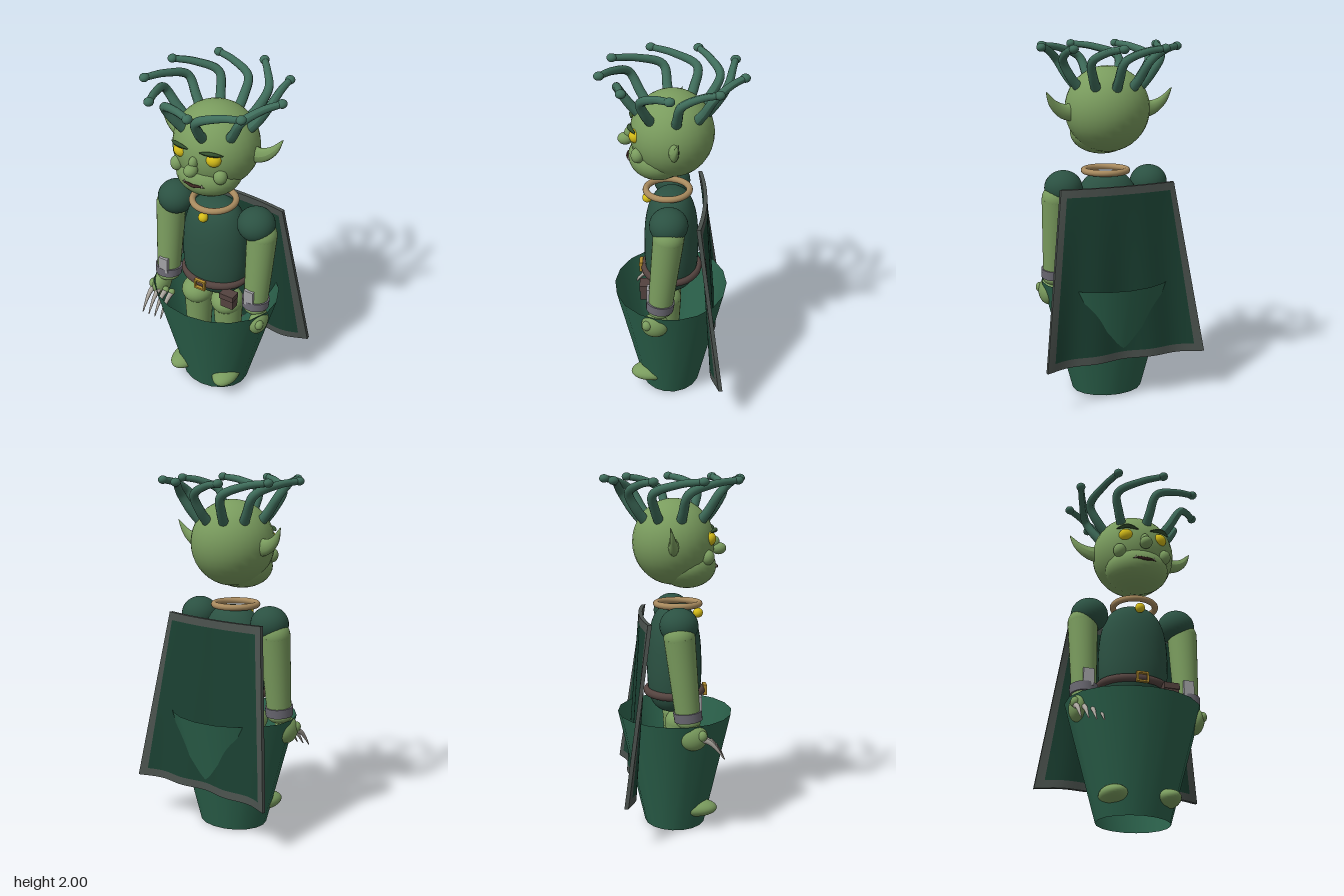
import * as THREE from 'three';

const V = (x, y, z) => new THREE.Vector3(x, y, z);
const mat = (color, side = THREE.FrontSide) => new THREE.MeshStandardMaterial({ color, side });
const M = {
  skin: mat(0x7a9c5e), tentacle: mat(0x3f6d5b), tunic: mat(0x2b5142),
  bucket: mat(0x2b614b, THREE.DoubleSide), cape: mat(0x1a3f31), hem: mat(0x4a514d),
  eye: mat(0xd6bd18), brow: mat(0x34502f), mouth: mat(0x3a2420), tooth: mat(0xd8d2bc),
  ring: mat(0xa88a5e), leather: mat(0x54433f), gold: mat(0xb08a2e),
  bracer: mat(0x6c6a74), plate: mat(0xa2a2a6), claw: mat(0xa9a49c),
};

export function createModel() {
  const root = new THREE.Group();
  const add = (name, geo, m, x = 0, y = 0, z = 0) => {
    const mesh = new THREE.Mesh(geo, m);
    mesh.name = name;
    mesh.position.set(x, y, z);
    root.add(mesh);
    return mesh;
  };
  const ball = (name, m, x, y, z, rx, ry = rx, rz = rx) => {
    const b = add(name, new THREE.SphereGeometry(1, 28, 20), m, x, y, z);
    b.scale.set(rx, ry, rz);
    return b;
  };
  // Tube along points whose radius follows a rule r(t); flat squashes it in z
  const taper = (name, m, pts, r, flat = 1, n = 24) => {
    const curve = new THREE.CatmullRomCurve3(pts);
    const sides = 12, geo = new THREE.TubeGeometry(curve, n, 1, sides);
    const p = geo.attributes.position, v = V(0, 0, 0);
    for (let i = 0; i <= n; i++) {
      const c = curve.getPointAt(i / n);
      for (let j = 0; j <= sides; j++) {
        const k = i * (sides + 1) + j;
        v.fromBufferAttribute(p, k).sub(c).multiplyScalar(r(i / n));
        p.setXYZ(k, c.x + v.x, c.y + v.y, c.z + v.z * flat);
      }
    }
    geo.computeVertexNormals();
    return add(name, geo, m);
  };
  // Cylinder between two points
  const limb = (name, m, a, b, ra, rb, open = false) => {
    const d = b.clone().sub(a);
    const c = add(name, new THREE.CylinderGeometry(rb, ra, d.length(), 24, 1, open), m);
    c.position.copy(a).addScaledVector(d, 0.5);
    c.quaternion.setFromUnitVectors(V(0, 1, 0), d.normalize());
    return c;
  };

  // Head and face
  ball('head', M.skin, 0, 1.63, -0.005, 0.24, 0.24, 0.23);
  ball('jaw', M.skin, 0, 1.495, 0.07, 0.185, 0.125, 0.165);
  ball('noseBridge', M.skin, 0, 1.625, 0.225, 0.024, 0.035, 0.03);
  ball('nose', M.skin, 0, 1.59, 0.25, 0.036, 0.034, 0.042);
  const mouth = [-0.07, -0.035, 0, 0.035, 0.07].map((x) =>
    V(x, 1.49 + (Math.abs(x) === 0.035 ? 0.004 : 0), 0.07 + 0.168 * Math.sqrt(1 - (x / 0.185) ** 2)));
  taper('mouth', M.mouth, mouth, (t) => 0.008 * Math.sin(Math.PI * t) + 0.001);
  for (const s of [-1, 1]) {
    ball('eye', M.eye, s * 0.1, 1.655, 0.185, 0.043, 0.04, 0.038);
    taper('brow', M.brow, [V(s * 0.035, 1.692, 0.218), V(s * 0.1, 1.702, 0.218), V(s * 0.158, 1.692, 0.185)],
      (t) => 0.003 + 0.01 * Math.sin(Math.PI * t));
    ball('cheek', M.skin, s * 0.135, 1.555, 0.175, 0.037, 0.042, 0.037);
    const tooth = add('tooth', new THREE.ConeGeometry(0.006, 0.022, 8), M.tooth, s * 0.055, 1.502, 0.231);
    tooth.rotation.x = 0.1;
    taper('ear', M.skin, [V(s * 0.2, 1.62, -0.02), V(s * 0.27, 1.63, -0.025), V(s * 0.33, 1.67, -0.035), V(s * 0.378, 1.742, -0.05)],
      (t) => 0.055 * (1 - t) ** 0.8, 0.6);
  }

  // Swirl of tentacles with knobbed tips
  for (let i = 0; i < 9; i++) {
    const tip = (i * 40 * Math.PI) / 180;
    const base = tip + ((41 + 10 * Math.cos(tip - 2.18)) * Math.PI) / 180;
    const polar = (a, r, y) => V(r * Math.cos(a), y, r * Math.sin(a) - 0.005);
    const end = polar(tip, 0.385, 1.975);
    const mid = polar(base - 0.08, 0.3, 1.915).lerp(end, 0.5);
    mid.y = 1.958;
    taper('tentacle', M.tentacle, [polar(base, 0.17, 1.74), polar(base, 0.23, 1.81),
      polar(base - 0.05, 0.29, 1.905), mid, end], (t) => 0.029 - 0.011 * t, 1, 32);
    ball('tentacleTip', M.tentacle, end.x, end.y, end.z, 0.026, 0.023, 0.028);
  }

  // Neck ring with bell
  add('neckRing', new THREE.TorusGeometry(0.122, 0.018, 14, 40), M.ring, 0, 1.28, 0.02).rotation.x = Math.PI / 2;
  ball('bell', M.eye, 0, 1.225, 0.135, 0.028);

  // Torso, lathed and flattened
  const profile = [[0, 0.66], [0.09, 0.67], [0.15, 0.7], [0.185, 0.76], [0.2, 0.86], [0.2, 0.98],
    [0.19, 1.09], [0.165, 1.18], [0.125, 1.24], [0.07, 1.27], [0, 1.28]].map(([x, y]) => new THREE.Vector2(x, y));
  add('torso', new THREE.LatheGeometry(new THREE.SplineCurve(profile).getPoints(36), 40), M.tunic).scale.z = 0.77;

  // Belt, buckle and pouch
  const belt = add('belt', new THREE.TorusGeometry(0.188, 0.023, 14, 48), M.leather, 0, 0.78, 0);
  belt.rotation.x = Math.PI / 2;
  belt.scale.y = 0.83;
  for (const s of [-1, 1]) {
    add('buckleBar', new THREE.BoxGeometry(0.07, 0.01, 0.02), M.gold, 0, 0.78 + s * 0.025, 0.175);
    add('buckleSide', new THREE.BoxGeometry(0.01, 0.06, 0.02), M.gold, s * 0.03, 0.78, 0.175);
  }
  add('pouch', new THREE.BoxGeometry(0.08, 0.085, 0.055), M.leather, 0.172, 0.72, 0.14);
  add('pouchFlap', new THREE.BoxGeometry(0.088, 0.035, 0.063), M.leather, 0.172, 0.752, 0.142);

  // Arms, hands, legs and feet
  for (const s of [-1, 1]) {
    const shoulder = V(s * 0.3, 1.14, 0.005), wrist = V(s * 0.298, 0.67, 0.055);
    ball('shoulder', M.tunic, s * 0.262, 1.2, 0.005, 0.107, 0.098, 0.106);
    limb('arm', M.skin, wrist, shoulder, 0.068, 0.086);
    ball('armTop', M.skin, s * 0.3, 1.14, 0.005, 0.086);
    ball('wrist', M.skin, s * 0.298, 0.67, 0.055, 0.068, 0.04, 0.068);
    limb('bracer', M.bracer, V(s * 0.298, 0.678, 0.055), V(s * 0.298, 0.73, 0.05), 0.077, 0.08);
    add('bracerPlate', new THREE.BoxGeometry(0.06, 0.1, 0.02), M.plate, s * 0.29, 0.765, 0.117);
    ball('hand', M.skin, s * 0.335, 0.59, 0.08, 0.05, 0.075, 0.078);
    ball('thumb', M.skin, s * 0.365, 0.605, 0.125, 0.024, 0.03, 0.028);
    limb('leg', M.skin, V(s * 0.105, 0.12, 0.03), V(s * 0.1, 0.62, 0.03), 0.06, 0.09);
    ball('thigh', M.skin, s * 0.1, 0.62, 0.04, 0.095, 0.08, 0.1);
    const foot = ball('foot', M.skin, s * 0.142, 0.115, 0.11, 0.078, 0.05, 0.125);
    foot.rotation.y = s * 0.12;
  }

  // Claws on the right hand
  for (let i = 0; i < 4; i++) {
    const x = -0.36 + i * 0.042;
    taper('claw', M.claw, [V(x, 0.59, 0.12), V(x - 0.002, 0.56, 0.175), V(x - 0.002, 0.51, 0.22), V(x, 0.47, 0.25)],
      (t) => 0.015 * (1 - t) + 0.003, 1, 12);
    ball('knuckle', M.skin, x, 0.59, 0.125, 0.02);
  }

  // Open tapering bucket skirt
  const bucket = add('bucket', new THREE.CylinderGeometry(0.385, 0.205, 0.66, 18, 1, true), M.bucket, 0, 0.33, 0.003);
  bucket.scale.z = 0.85;

  // Cape: thin panels bent to one rippled surface, with a hem all round
  const capePanel = (name, m, u0, u1, v0, v1) => {
    const geo = new THREE.BoxGeometry(1, 1, 1, Math.ceil((u1 - u0) * 20), Math.ceil((v1 - v0) * 24), 1);
    const p = geo.attributes.position;
    for (let i = 0; i < p.count; i++) {
      const u = u0 + (p.getX(i) + 0.5) * (u1 - u0), v = v0 + (p.getY(i) + 0.5) * (v1 - v0);
      const top = -0.157 - 0.033 * (1 - u * u);
      const low = -0.245 - 0.04 * Math.abs(u) ** 3 + 0.012 * Math.cos(u * 9);
      p.setXYZ(i, u * (0.48 - 0.14 * v), 0.24 + 0.98 * v, low + (top - low) * v + p.getZ(i) * 0.022);
    }
    geo.computeVertexNormals();
    add(name, geo, m);
  };
  capePanel('cape', M.cape, -0.9, 0.9, 0.045, 0.955);
  capePanel('capeHem', M.hem, -1, 1, 0, 0.045);
  capePanel('capeCollar', M.hem, -1, 1, 0.955, 1);
  capePanel('capeEdge', M.hem, -1, -0.9, 0.045, 0.955);
  capePanel('capeEdge', M.hem, 0.9, 1, 0.045, 0.955);
  return root;
}
